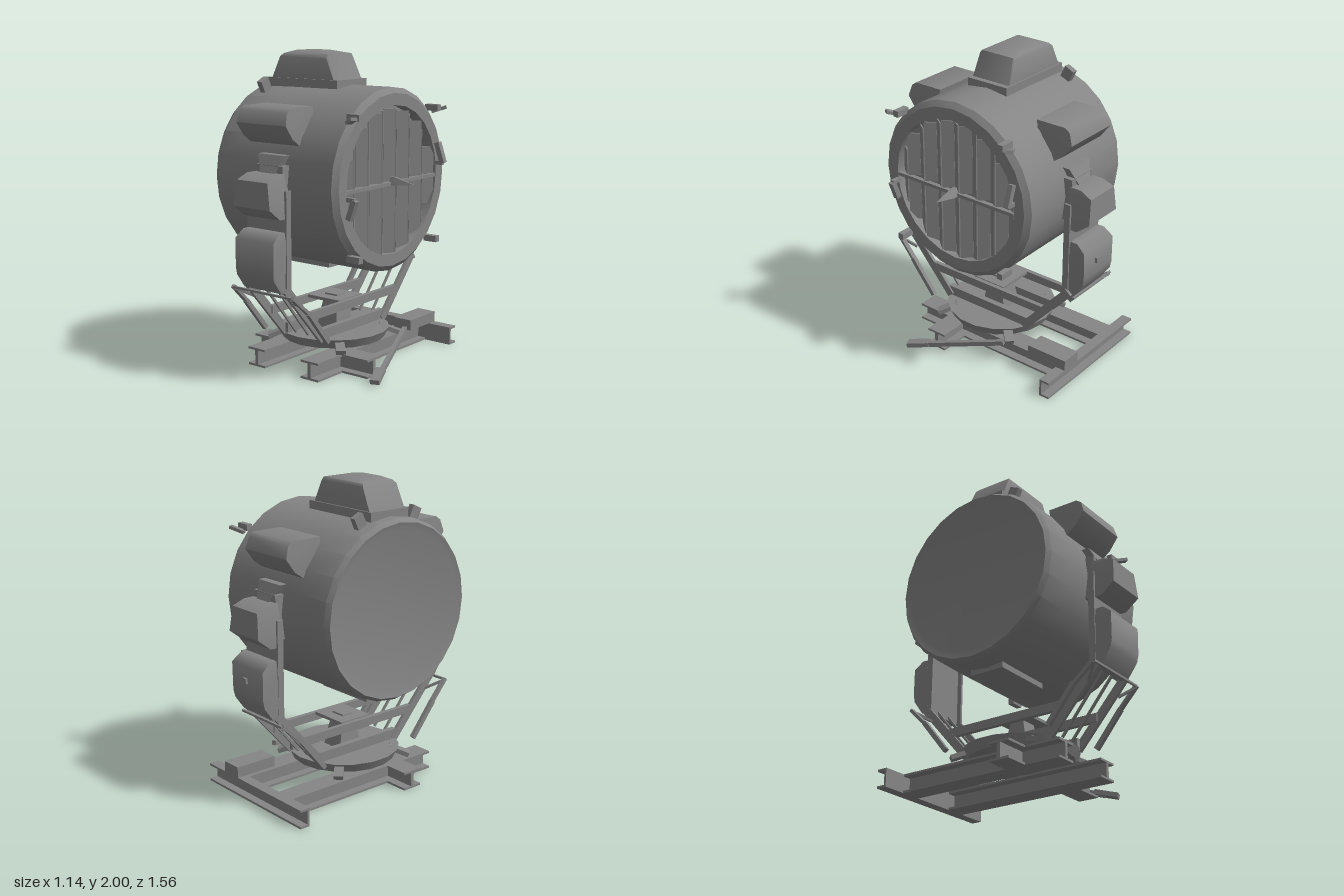
import * as THREE from 'three';
import { toCreasedNormals } from 'three/addons/utils/BufferGeometryUtils.js';
import { ConvexGeometry } from 'three/addons/geometries/ConvexGeometry.js';

const V = (x, y, z) => new THREE.Vector3(x, y, z);

export function createModel() {
  const model = new THREE.Group();
  const grey = new THREE.MeshStandardMaterial({ color: 0x858585, side: THREE.DoubleSide });
  grey.name = 'grey paint';

  const add = (name, geo) => {
    const mesh = new THREE.Mesh(geo, grey);
    mesh.name = name;
    model.add(mesh);
    return mesh;
  };
  // Box given by its limits
  const box = (name, x0, x1, y0, y1, z0, z1) => {
    const g = new THREE.BoxGeometry(x1 - x0, y1 - y0, Math.abs(z1 - z0));
    return add(name, g.translate((x0 + x1) / 2, (y0 + y1) / 2, (z0 + z1) / 2));
  };
  // Bar between two points, with a square section of w by d
  const bar = (name, a, b, w = 0.025, d = w) => {
    const mesh = add(name, new THREE.BoxGeometry(w, d, a.distanceTo(b)));
    mesh.position.copy(a).lerp(b, 0.5);
    mesh.lookAt(b);
    return mesh;
  };
  // Solid through stacked rectangles [y, x0, x1, z0, z1], with soft shading
  const stack = (name, rows) => {
    const pts = [];
    for (const [y, x0, x1, z0, z1] of rows)
      for (const x of [x0, x1]) for (const z of [z0, z1]) pts.push(V(x, y, z));
    return add(name, toCreasedNormals(new ConvexGeometry(pts), 0.9));
  };
  // Turned part about the x axis of the drum
  const CY = 1.218;
  const drumLathe = (name, profile, seg) => {
    const pts = profile.map(([r, x]) => new THREE.Vector2(r, x));
    const g = new THREE.LatheGeometry(pts, seg).rotateZ(-Math.PI / 2).translate(0, CY, 0);
    return add(name, toCreasedNormals(g, 0.6));
  };

  // Lamp drum with a recessed front opening
  drumLathe('drum', [[0, -0.555], [0.5, -0.56], [0.545, -0.572], [0.567, -0.54], [0.573, -0.3],
    [0.575, 0.385], [0.54, 0.415], [0.465, 0.415], [0.465, 0.33], [0, 0.33]], 24);

  // Tilted vertical shutter slats, split by the middle bar
  const count = 13;
  for (let i = 0; i < count; i++) {
    const z = -0.42 + (0.84 * i) / (count - 1);
    const h = Math.sqrt(0.46 ** 2 - z * z) - 0.012;
    for (const s of [1, -1]) {
      const slat = add('shutterSlat', new THREE.BoxGeometry(0.008, h, 0.078));
      slat.position.set(0.38, CY - 0.018 + s * (h / 2 + 0.01), z);
      slat.rotation.y = (i % 2 ? 1 : -1) * 0.6;
    }
  }
  box('shutterBar', 0.385, 0.415, CY - 0.03, CY - 0.008, -0.46, 0.46);
  stack('shutterPointer', [[1.19, 0.4, 0.44, -0.03, 0.03], [1.205, 0.4, 0.57, -0.004, 0.004],
    [1.24, 0.4, 0.43, -0.01, 0.01]]);

  // Clips around the front rim
  for (const s of [1, -1]) {
    for (const y of [0.79, 1.64]) box('rimClip', 0.38, 0.475, y - 0.02, y + 0.02, s * 0.385, s * 0.425);
    bar('rimLatch', V(0.4, 1.61, s * 0.43), V(0.48, 1.64, s * 0.48), 0.04, 0.02);
  }
  // Shutter catches on the two sides of the opening
  for (const [y0, y1, z] of [[1.04, 1.16, 0.46], [1.41, 1.28, -0.46]]) {
    bar('shutterCatch', V(0.43, y0, z), V(0.475, y1, z), 0.035);
    bar('shutterCatchStay', V(0.41, y1, z), V(0.475, y1, z), 0.025);
  }

  // Top ventilator and its seat
  box('ventilatorSeat', -0.48, 0.09, 1.74, 1.825, -0.15, 0.15);
  stack('ventilator', [[1.82, -0.455, 0.055, -0.14, 0.14], [1.96, -0.39, -0.01, -0.135, 0.135],
    [1.98, -0.37, -0.01, -0.12, 0.12], [2.0, -0.3, -0.16, -0.08, 0.08]]);
  box('drumKeel', -0.42, 0.0, 0.625, 0.68, -0.12, 0.12);

  for (const s of [1, -1]) {
    // Small hooks next to the ventilator
    const hook = box('ventilatorHook', -0.02, 0.02, -0.045, 0.045, -0.035, 0.035);
    hook.position.set(-0.45, 1.775, s * 0.22);
    hook.rotation.x = s * 0.45;

    // Side air box, standing off the drum
    stack('sideAirBox', [[1.455, -0.3, 0.1, s * 0.44, s * 0.515], [1.5, -0.3, 0.1, s * 0.44, s * 0.58],
      [1.585, -0.3, 0.1, s * 0.4, s * 0.643], [1.66, -0.29, 0.09, s * 0.4, s * 0.62],
      [1.685, -0.29, 0.09, s * 0.38, s * 0.585]]);

    // Trunnion housing and pivot
    stack('trunnionHousing', [[1.03, -0.2, 0.09, s * 0.61, s * 0.69], [1.1, -0.2, 0.09, s * 0.61, s * 0.78],
      [1.26, -0.18, 0.065, s * 0.61, s * 0.77], [1.295, -0.17, 0.055, s * 0.61, s * 0.69]]);
    stack('trunnionCap', [[1.27, -0.1, -0.01, s * 0.56, s * 0.65], [1.4, -0.17, 0.04, s * 0.53, s * 0.59]]);
    box('trunnionPad', -0.16, 0.05, 1.06, 1.34, s * 0.54, s * 0.62);

    // Upright yoke arm: channel with an outer cover
    box('yokeUpright', -0.21, 0.1, 0.58, 1.1, s * 0.635, s * 0.647);
    for (const x of [-0.205, 0.095]) box('yokeFlange', x - 0.008, x + 0.008, 0.58, 1.2, s * 0.605, s * 0.647);
    stack('armCover', [[0.58, -0.21, 0.09, s * 0.645, s * 0.685], [0.67, -0.21, 0.09, s * 0.65, s * 0.75],
      [0.72, -0.21, 0.095, s * 0.65, s * 0.76], [0.9, -0.21, 0.1, s * 0.65, s * 0.76],
      [0.95, -0.2, 0.09, s * 0.65, s * 0.7]]);

    // Sloping lower yoke legs
    for (const x of [-0.205, 0.1]) bar('yokeLeg', V(x, 0.6, s * 0.655), V(x, 0.21, s * 0.31), 0.022, 0.055);
    for (const x of [-0.1, 0.0]) bar('yokeRod', V(x, 0.62, s * 0.65), V(x, 0.23, s * 0.33), 0.014);

    // Carrying handles hanging from the yoke
    const sides = s > 0 ? [[-0.3, -0.32], [0.18, 0.2]] : [[-0.3, -0.32]];
    bar('handleRail', V(-0.3, 0.565, s * 0.69), V(s > 0 ? 0.18 : 0.1, 0.565, s * 0.69), 0.014);
    for (const [x, e] of sides) {
      bar('handleStrut', V(x, 0.57, s * 0.69), V(e, 0.42, s * 0.53), 0.03, 0.02);
      bar('handleGrip', V(e, 0.45, s * 0.56), V(e, 0.23, s * 0.38), 0.028, 0.03);
      bar('handleLink', V(x, 0.56, s * 0.69), V(x * 0.7, 0.5, s * 0.59), 0.016);
    }
  }
  bar('coverKnob', V(-0.04, 0.81, -0.75), V(-0.04, 0.81, -0.775), 0.035);

  // Yoke cross frame and centre post
  for (const x of [-0.2, 0.095]) box('yokeCrossRail', x - 0.015, x + 0.015, 0.36, 0.415, -0.46, 0.46);
  box('yokeCrossPlate', -0.18, 0.08, 0.4, 0.42, -0.12, 0.12);
  stack('centrePost', [[0.2, -0.13, 0.03, -0.09, 0.09], [0.3, -0.12, 0.02, -0.07, 0.07],
    [0.43, -0.1, 0.0, -0.04, 0.04]]);
  for (const x of [-0.19, 0.08]) box('yokeFootRail', x - 0.02, x + 0.02, 0.2, 0.275, -0.33, 0.33);

  // Turntable
  add('turntable', new THREE.CylinderGeometry(0.365, 0.335, 0.06, 18).translate(-0.06, 0.18, 0));
  add('turntableHub', new THREE.CylinderGeometry(0.09, 0.09, 0.06, 12).translate(-0.06, 0.13, 0));
  for (let i = 0; i < 4; i++) {
    const a = Math.PI / 4 + (i * Math.PI) / 2, c = Math.cos(a), d = Math.sin(a);
    bar('turntableClamp', V(-0.06 + c * 0.3, 0.2, d * 0.3), V(-0.06 + c * 0.43, 0.15, d * 0.43), 0.06, 0.03);
  }

  // Base of I-beams: two runners, each with an outward stub, and a rear cross beam
  for (const [x, end] of [[-0.3, -0.53], [0.14, 0.41]]) {
    const [x0, x1] = [Math.min(x, end), Math.max(x, end)];
    for (const y of [0.0, 0.106]) {
      box('runnerFlange', x - 0.07, x + 0.07, y, y + 0.014, -0.67, 0.49);
      box('stubFlange', x0, x1, y, y + 0.014, 0.11, 0.25);
    }
    box('runnerWeb', x - 0.012, x + 0.012, 0.01, 0.11, -0.67, 0.49);
    box('stubWeb', x0, x1, 0.01, 0.11, 0.168, 0.192);
  }
  for (const y of [0.0, 0.106]) box('crossBeamFlange', -0.53, 0.41, y, y + 0.014, -0.74, -0.67);
  box('crossBeamWeb', -0.53, 0.41, 0.01, 0.11, -0.685, -0.67);
  box('rearStep', 0.1, 0.24, 0.12, 0.19, -0.74, -0.45);

  // Loose crank strut with a foot
  bar('crankStrut', V(0.3, 0.18, -0.3), V(0.5, 0.04, 0.25), 0.03);
  bar('crankFoot', V(0.47, 0.06, 0.19), V(0.525, 0.025, 0.33), 0.06, 0.03);

  return model;
}
